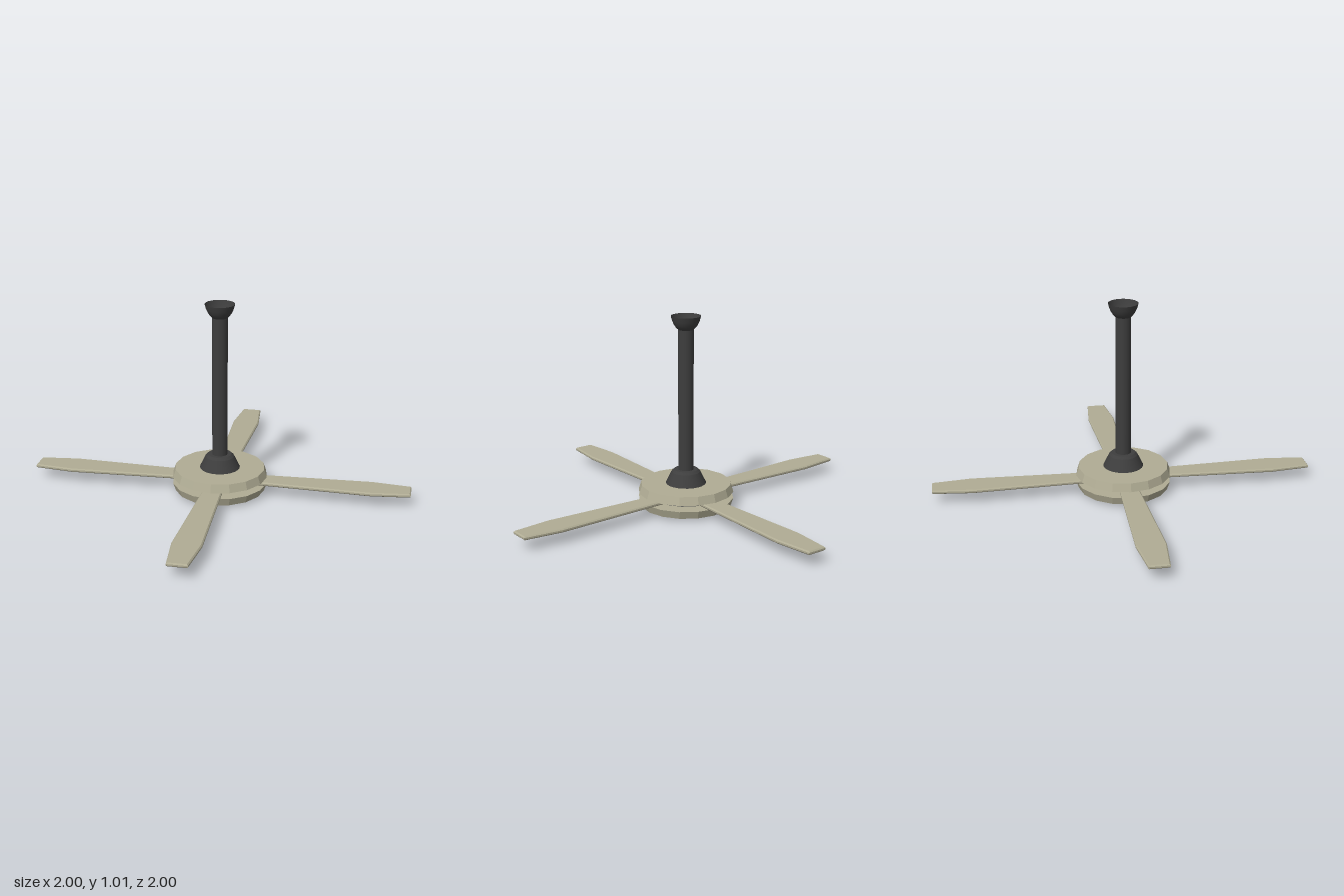
import * as THREE from 'three';

export function createModel() {
  const model = new THREE.Group();
  model.name = 'ceilingFan';
  const beige = new THREE.MeshStandardMaterial({ color: 0xb0ac94, flatShading: true });
  beige.name = 'beige paint';
  const dark = new THREE.MeshStandardMaterial({ color: 0x3e3e3e });
  dark.name = 'dark metal';
  const darkOpen = new THREE.MeshStandardMaterial({ color: 0x3e3e3e, side: THREE.DoubleSide });
  darkOpen.name = 'dark metal shell';
  const grey = new THREE.MeshStandardMaterial({ color: 0x6e6e6a, flatShading: true });
  grey.name = 'grey metal';

  const add = (name, geometry, material) => {
    const mesh = new THREE.Mesh(geometry, material);
    mesh.name = name;
    model.add(mesh);
    return mesh;
  };
  // Upright drum or cone between two heights
  const drum = (name, rTop, rBottom, y0, y1, sides, material) => {
    const mesh = add(name, new THREE.CylinderGeometry(rTop, rBottom, y1 - y0, sides), material);
    mesh.position.y = (y0 + y1) / 2;
    return mesh;
  };

  // Motor housing: two bevelled discs around a narrower core
  drum('upperDisc', 0.236, 0.25, 0.088, 0.13, 16, beige);
  drum('lowerDisc', 0.25, 0.236, 0.014, 0.055, 16, beige);
  drum('motorCore', 0.17, 0.17, 0.05, 0.092, 16, grey);
  drum('bottomCap', 0.1, 0.1, 0.003, 0.016, 24, dark);
  drum('bottomCapFace', 0.09, 0.085, 0, 0.004, 24, dark);

  // Down rod and its flared collar
  drum('downRod', 0.04, 0.04, 0.13, 0.96, 24, dark);
  drum('collar', 0.075, 0.105, 0.13, 0.192, 24, dark);
  drum('collarRim', 0.062, 0.075, 0.192, 0.204, 24, dark);

  // Open ceiling cup
  const cup = [[0.04, 0.945], [0.052, 0.957], [0.062, 0.972], [0.07, 0.99], [0.077, 1.015]];
  add('ceilingCup', new THREE.LatheGeometry(cup.map(([r, y]) => new THREE.Vector2(r, y)), 24), darkOpen);

  // Four blades, widest near the tip, with bevelled edges
  const half = [[0.13, 0.042], [0.795, 0.068], [0.993, 0.046]];
  const outline = [...half, ...half.map(([r, w]) => [r, -w]).reverse()];
  const bevel = 0.006;
  const bladeGeometry = new THREE.ExtrudeGeometry(
    new THREE.Shape(outline.map(([r, w]) => new THREE.Vector2(r, w))),
    { depth: 0.008, bevelEnabled: true, bevelThickness: bevel, bevelSize: bevel, bevelSegments: 1 }
  );
  bladeGeometry.translate(0, 0, -0.004).rotateX(-Math.PI / 2);
  for (let i = 0; i < 4; i++) {
    const blade = add('blade' + (i + 1), bladeGeometry, beige);
    blade.position.y = 0.07;
    blade.rotation.y = (i * Math.PI) / 2;
  }
  return model;
}
